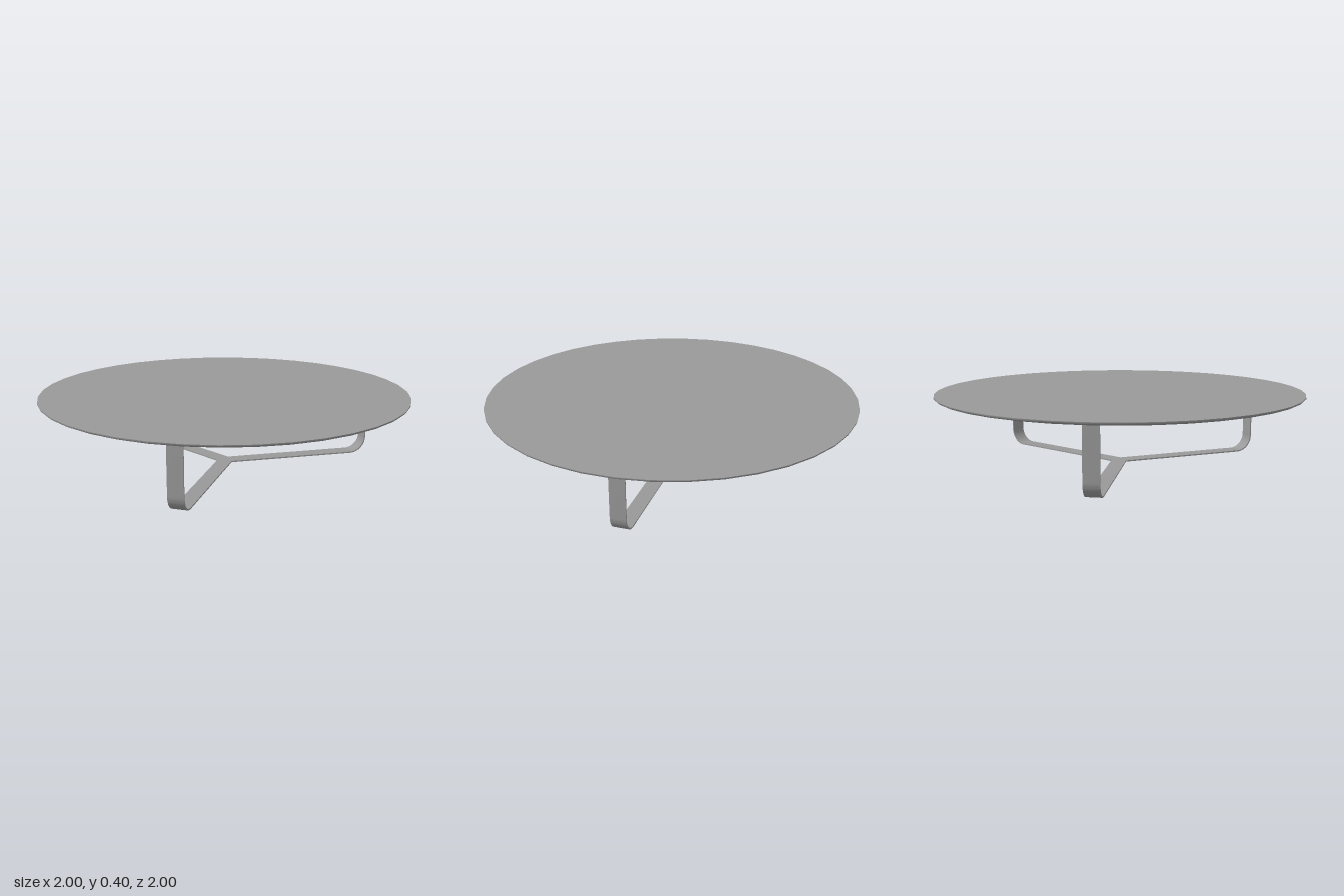
import * as THREE from 'three';
import { toCreasedNormals } from 'three/addons/utils/BufferGeometryUtils.js';

const material = new THREE.MeshStandardMaterial({ color: 0x999999 });

const REACH = 0.825;  // hub to outer face of a leg
const WIDTH = 0.082;  // strip width
const THICK = 0.007;  // strip thickness
const BEND = 0.09;    // outer bend radius
const UNDER = 0.383;  // underside of the top

// Thin round top with a softly curved, undercut rim
function createTop() {
  const profile = [
    [0, UNDER], [0.955, UNDER], [0.968, UNDER], [0.985, 0.387],
    [0.996, 0.392], [1, 0.396], [1, 0.402], [0, 0.402],
  ].map(([r, y]) => new THREE.Vector2(r, y));
  const geometry = toCreasedNormals(new THREE.LatheGeometry(profile, 40), 0.8);
  const top = new THREE.Mesh(geometry, material);
  top.name = 'tableTop';
  return top;
}

// Flat strip running out from the hub and bending up into an upright
function createLegGeometry() {
  const s = new THREE.Shape();
  s.moveTo(0, 0);
  s.lineTo(REACH - BEND, 0);
  s.absarc(REACH - BEND, BEND, BEND, -Math.PI / 2, 0, false);
  s.lineTo(REACH, UNDER);
  s.lineTo(REACH - THICK, UNDER);
  s.lineTo(REACH - THICK, BEND);
  s.absarc(REACH - BEND, BEND, BEND - THICK, 0, -Math.PI / 2, true);
  s.lineTo(0, THICK);
  const geometry = new THREE.ExtrudeGeometry(s, {
    depth: WIDTH, steps: 2, bevelEnabled: false, curveSegments: 10,
  });
  geometry.translate(0, 0, -WIDTH / 2);

  // Mitre the inner end so three strips meet in a clean Y
  const p = geometry.attributes.position;
  for (let i = 0; i < p.count; i++) {
    if (p.getX(i) < 0.001) p.setX(i, Math.abs(p.getZ(i)) / Math.sqrt(3));
  }
  return toCreasedNormals(geometry, 0.4);
}

export function createModel() {
  const table = new THREE.Group();
  table.name = 'roundTable';
  table.add(createTop());

  // Three-armed base
  const base = new THREE.Group();
  base.name = 'base';
  base.position.set(0.008, 0, -0.004);
  const legGeometry = createLegGeometry();
  ['frontLeg', 'rightLeg', 'backLeg'].forEach((name, i) => {
    const leg = new THREE.Mesh(legGeometry, material);
    leg.name = name;
    leg.rotation.y = -Math.PI / 3 - (i * 2 * Math.PI) / 3;
    base.add(leg);
  });
  table.add(base);
  return table;
}
